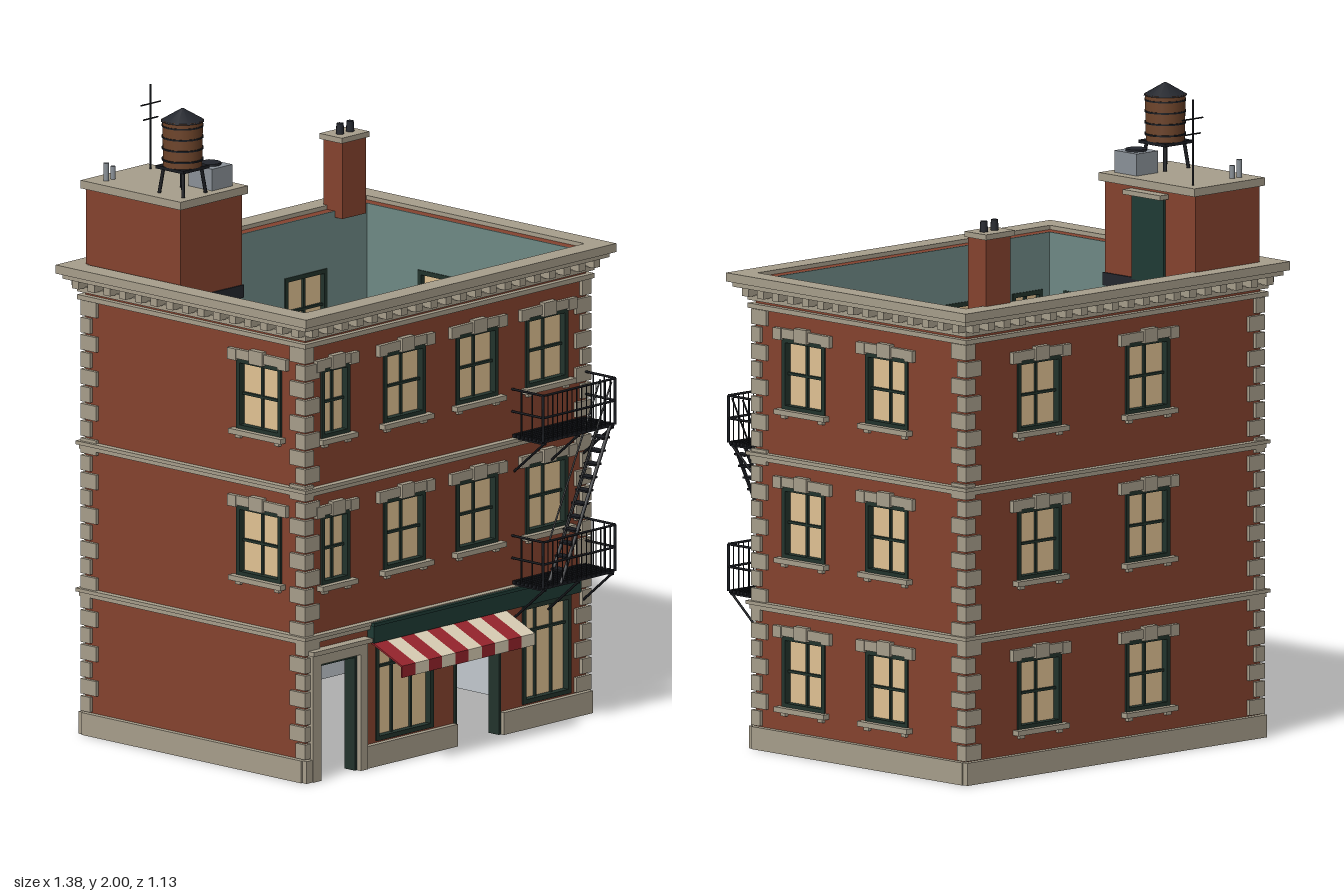
import * as THREE from 'three';

const mat = (color, side = THREE.FrontSide) => new THREE.MeshStandardMaterial({ color, side });
const M = {
  brick: mat(0x86432f), stone: mat(0xa89f8c), glass: mat(0xe2c394), frame: mat(0x22332c),
  sign: mat(0x1f3b35), red: mat(0x96242c, THREE.DoubleSide), cream: mat(0xd9cdb4, THREE.DoubleSide),
  iron: mat(0x191b20), wood: mat(0x6f452b), metal: mat(0x8b9299), roof: mat(0x23262d),
  ground: mat(0xc3cad0), middle: mat(0xc9a57a), upper: mat(0x6f8a86),
};
// Wall planes
const W = 0.625, ZF = 0.422, ZB = -0.5, ZC = (ZF + ZB) / 2, D = (ZF - ZB) / 2, T = 0.033;

function add(parent, name, geo, material, x = 0, y = 0, z = 0) {
  const m = new THREE.Mesh(geo, material);
  m.name = name;
  m.position.set(x, y, z);
  parent.add(m);
  return m;
}
// Box given by its min and max on each axis
function box(parent, name, material, x0, x1, y0, y1, z0, z1) {
  return add(parent, name, new THREE.BoxGeometry(x1 - x0, y1 - y0, z1 - z0), material,
    (x0 + x1) / 2, (y0 + y1) / 2, (z0 + z1) / 2);
}
function cyl(parent, name, material, r0, r1, y0, y1, x, z, n = 16) {
  return add(parent, name, new THREE.CylinderGeometry(r1, r0, y1 - y0, n), material, x, (y0 + y1) / 2, z);
}
// Thin round bar between two points
function bar(parent, name, a, b, r = 0.004) {
  const p = new THREE.Vector3(...a), q = new THREE.Vector3(...b), d = q.clone().sub(p);
  const m = add(parent, name, new THREE.CylinderGeometry(r, r, d.length(), 5), M.iron);
  m.position.copy(p).add(q).multiplyScalar(0.5);
  m.quaternion.setFromUnitVectors(new THREE.Vector3(0, 1, 0), d.normalize());
}
function group(parent, name) {
  const g = new THREE.Group();
  g.name = name;
  parent.add(g);
  return g;
}
const rect = (S, x0, x1, y0, y1) =>
  new S([[x0, y0], [x1, y0], [x1, y1], [x0, y1]].map(p => new THREE.Vector2(...p)));

// Rectangular moulding running round the building
function ring(parent, name, y0, y1, out, inset = 0.004) {
  const s = rect(THREE.Shape, -W - out, W + out, -D - out, D + out);
  s.holes.push(rect(THREE.Path, -W + inset, W - inset, -D + inset, D - inset));
  const geo = new THREE.ExtrudeGeometry(s, { depth: y1 - y0, bevelEnabled: false });
  geo.rotateX(-Math.PI / 2);
  add(parent, name, geo, M.stone, 0, y0, ZC);
}

// Flat wall with window holes and door notches cut into its foot
function panel(parent, name, material, half, y0, y1, z0, z1, wins, doors) {
  const pts = [[-half, y0]];
  if (y0 === 0) for (const d of doors) pts.push([d.x0, 0], [d.x0, d.h], [d.x1, d.h], [d.x1, 0]);
  pts.push([half, y0], [half, y1], [-half, y1]);
  const s = new THREE.Shape(pts.map(p => new THREE.Vector2(...p)));
  for (const w of wins) if (w.y > y0 && w.y < y1)
    s.holes.push(rect(THREE.Path, w.x - w.w / 2, w.x + w.w / 2, w.y, w.y + w.h));
  add(parent, name, new THREE.ExtrudeGeometry(s, { depth: z1 - z0, bevelEnabled: false }), material, 0, 0, z0);
}

function windowUnit(parent, { x, y, w, h, cols = 2, rail = 0.5, trim = true }) {
  const g = group(parent, 'window');
  g.position.set(x, y, 0);
  const a = w / 2, f = 0.014;
  box(g, 'glass', M.glass, -a, a, 0, h, -0.024, -0.018);
  for (const s of [-1, 1]) box(g, 'frameSide', M.frame, s * (a - f / 2) - f / 2, s * (a - f / 2) + f / 2, 0, h, -0.04, 0.005);
  box(g, 'frameBottom', M.frame, -a, a, 0, f, -0.04, 0.005);
  box(g, 'frameTop', M.frame, -a, a, h - f, h, -0.04, 0.005);
  box(g, 'meetingRail', M.frame, -a, a, h * rail - 0.004, h * rail + 0.004, -0.034, -0.008);
  for (let i = 1; i < cols; i++) {
    const mx = -a + w * i / cols;
    box(g, 'mullion', M.frame, mx - 0.004, mx + 0.004, 0, h, -0.032, -0.01);
  }
  if (!trim) return;
  box(g, 'lintel', M.stone, -a - 0.022, a + 0.022, h, h + 0.03, -0.01, 0.012);
  for (const s of [-1, 1]) {
    box(g, 'lintelEnd', M.stone, s * (a + 0.012) - 0.018, s * (a + 0.012) + 0.018, h - 0.006, h + 0.03, -0.01, 0.015);
    box(g, 'sillBracket', M.stone, s * (a - 0.012) - 0.01, s * (a - 0.012) + 0.01, -0.026, -0.014, -0.01, 0.012);
  }
  box(g, 'keystone', M.stone, -0.028, 0.028, h - 0.006, h + 0.038, -0.01, 0.019);
  box(g, 'sill', M.stone, -a - 0.016, a + 0.016, -0.014, 0.002, -0.02, 0.024);
}

function wall(parent, name, half, x, z, turn, wins, doors = []) {
  const g = group(parent, name);
  g.position.set(x, 0, z);
  g.rotation.y = turn;
  panel(g, 'brickwork', M.brick, half, 0, 1.46, -T, 0, wins, doors);
  [[0, 0.445, M.ground], [0.445, 0.905, M.middle], [0.905, 1.46, M.upper]].forEach(([a, b, m]) =>
    panel(g, 'innerLining', m, Math.min(half, W - T), a, b, -T - 0.004, -T, wins, doors));
  wins.forEach(w => windowUnit(g, w));
  // Plinth, broken at the doors
  let from = -half - (name === 'frontWall' || name === 'backWall' ? 0.012 : T);
  for (const d of doors) { box(g, 'plinth', M.stone, from, d.x0, 0, 0.07, -0.02, 0.018); from = d.x1; }
  box(g, 'plinth', M.stone, from, half + (half === W ? 0.012 : T), 0, 0.07, -0.02, 0.018);
  // Bracket row under the cornice
  const full = half === W ? W : D, n = Math.round(full * 2 / 0.066);
  for (let i = 0; i <= n; i++) {
    const bx = -full + full * 2 * i / n;
    box(g, 'corniceBracket', M.stone, bx - 0.014, bx + 0.014, 1.405, 1.44, -0.005, 0.045);
  }
  return g;
}

function fireEscape(parent) {
  const g = group(parent, 'fireEscape'), x0 = 0.292, x1 = 0.612, z0 = 0.425, z1 = 0.556;
  for (const y of [0.47, 0.93]) {
    for (let i = 0; i < 8; i++) {
      const z = z0 + 0.008 + i * 0.0165;
      box(g, 'slat', M.iron, x0, x1, y - 0.006, y + 0.004, z - 0.005, z + 0.005);
    }
    for (const h of [0.075, 0.145]) {
      bar(g, 'rail', [x0, y + h, z1], [x1, y + h, z1]);
      for (const x of [x0, x1]) bar(g, 'sideRail', [x, y + h, z0], [x, y + h, z1]);
    }
    for (let i = 0; i <= 15; i++) {
      const x = x0 + (x1 - x0) * i / 15;
      bar(g, 'baluster', [x, y, z1], [x, y + 0.145, z1], i % 15 ? 0.002 : 0.005);
    }
    for (const x of [x0, x1]) for (const z of [0.465, 0.51]) bar(g, 'sideBaluster', [x, y, z], [x, y + 0.145, z], 0.0025);
    for (const x of [0.302, 0.452, 0.602]) {
      bar(g, 'strut', [x, y - 0.004, z1], [x, y - 0.115, z0], 0.004);
      box(g, 'crossBeam', M.iron, x - 0.004, x + 0.004, y - 0.012, y - 0.004, z0, z1);
    }
  }
  // Stair between the landings
  for (const z of [0.505, 0.552]) {
    bar(g, 'stringer', [0.375, 0.47, z], [0.595, 0.93, z], 0.006);
    bar(g, 'handrail', [0.375, 0.6, z], [0.6, 1.065, z], 0.003);
  }
  for (let i = 1; i < 12; i++) {
    const x = 0.375 + 0.22 * i / 12, y = 0.47 + 0.46 * i / 12;
    box(g, 'step', M.iron, x - 0.016, x + 0.016, y - 0.003, y + 0.003, 0.505, 0.552);
  }
}

function awning(parent) {
  const g = group(parent, 'awning'), w = 0.059;
  for (let i = 0; i < 10; i++) {
    // Sloping cloth with a hanging front edge
    const s = new THREE.Shape([[0.43, 0.392], [0.558, 0.337], [0.558, 0.3], [0.553, 0.3], [0.553, 0.333], [0.43, 0.386]]
      .map(p => new THREE.Vector2(...p)));
    const geo = new THREE.ExtrudeGeometry(s, { depth: w, bevelEnabled: false });
    geo.rotateY(-Math.PI / 2);
    add(g, 'stripe', geo, i % 2 ? M.cream : M.red, -0.337 + w * (i + 1), 0, 0);
  }
}

function roofObjects(parent) {
  // Stair bulkhead
  const b = group(parent, 'roofBulkhead');
  box(b, 'bulkheadWalls', M.brick, -0.615, -0.343, 1.42, 1.71, -0.508, -0.11);
  box(b, 'bulkheadBase', M.roof, -0.59, -0.338, 1.385, 1.425, -0.46, -0.105);
  box(b, 'bulkheadCap', M.stone, -0.626, -0.326, 1.71, 1.735, -0.52, -0.1);
  box(b, 'roofDoor', M.sign, -0.345, -0.335, 1.42, 1.685, -0.375, -0.235);
  box(b, 'roofDoorHood', M.stone, -0.345, -0.307, 1.685, 1.7, -0.39, -0.225);
  // Water tank
  const t = group(parent, 'waterTank');
  t.position.set(-0.53, 0, -0.182);
  for (const x of [-1, 1]) for (const z of [-1, 1]) bar(t, 'leg', [x * 0.05, 1.735, z * 0.05], [x * 0.04, 1.82, z * 0.04], 0.006);
  box(t, 'tankPlatform', M.iron, -0.058, 0.058, 1.812, 1.822, -0.058, 0.058);
  cyl(t, 'tankBarrel', M.wood, 0.06, 0.063, 1.822, 1.965, 0, 0, 20);
  for (const y of [1.84, 1.875, 1.91, 1.945]) cyl(t, 'hoop', M.iron, 0.0645, 0.0645, y, y + 0.005, 0, 0, 20);
  cyl(t, 'tankRoof', M.roof, 0.068, 0.004, 1.962, 2.0, 0, 0, 12);
  // Cooling unit, vents and aerial
  box(parent, 'coolingUnit', M.metal, -0.452, -0.362, 1.735, 1.803, -0.23, -0.132);
  cyl(parent, 'coolingFan', M.roof, 0.033, 0.033, 1.803, 1.81, -0.407, -0.181);
  cyl(parent, 'ventPipe', M.metal, 0.009, 0.009, 1.735, 1.79, -0.575, -0.46, 10);
  cyl(parent, 'ventPipe', M.metal, 0.008, 0.008, 1.735, 1.775, -0.545, -0.46, 10);
  const a = group(parent, 'aerial');
  bar(a, 'mast', [-0.37, 1.735, -0.468], [-0.37, 2, -0.468], 0.0035);
  bar(a, 'crossbar', [-0.413, 1.94, -0.468], [-0.325, 1.94, -0.468], 0.0025);
  bar(a, 'crossbar', [-0.402, 1.893, -0.468], [-0.337, 1.893, -0.468], 0.0025);
  // Chimney
  const c = group(parent, 'chimney');
  box(c, 'stack', M.brick, 0.445, 0.55, 1.44, 1.68, -0.51, -0.432);
  box(c, 'chimneyCap', M.stone, 0.434, 0.558, 1.68, 1.697, -0.518, -0.424);
  for (const x of [0.475, 0.52]) cyl(c, 'pot', M.roof, 0.013, 0.011, 1.697, 1.73, x, -0.47, 10);
}

export function createModel() {
  const root = new THREE.Group();
  root.name = 'cornerBuilding';
  const rows = [0.143, 0.605, 1.065];
  const grid = (xs, ys, w = 0.187) => ys.flatMap(y => xs.map(x => ({ x, y, w, h: 0.222 })));
  const upper = rows.slice(1);
  const doors = [{ x0: -0.575, x1: -0.4, h: 0.365 }, { x0: 0.035, x1: 0.24, h: 0.38 }];
  const front = wall(root, 'frontWall', W, 0, ZF, 0, [
    ...grid([-0.185, 0.137, 0.447], upper), ...grid([-0.492], upper, 0.127),
    { x: -0.185, y: 0.075, w: 0.255, h: 0.305, cols: 3, rail: 0.75, trim: false },
    { x: 0.447, y: 0.075, w: 0.215, h: 0.31, cols: 3, rail: 0.72, trim: false },
  ], doors);
  wall(root, 'rightWall', D - T, W, ZC, Math.PI / 2, grid([-0.249, 0.116], rows));
  wall(root, 'backWall', W, 0, ZB, Math.PI, grid([-0.315, 0.145], rows));
  wall(root, 'leftWall', D - T, -W, ZC, -Math.PI / 2, grid([0.27], upper));

  // Door frames and stone surround
  for (const d of doors) {
    box(front, 'doorJamb', M.frame, d.x0, d.x0 + 0.01, 0, d.h, -0.038, 0.006);
    box(front, 'doorJamb', M.frame, d.x1 - 0.01, d.x1, 0, d.h, -0.038, 0.006);
    box(front, 'doorHead', M.frame, d.x0, d.x1, d.h - 0.01, d.h, -0.038, 0.006);
  }
  box(front, 'doorPilaster', M.stone, -0.612, -0.575, 0, 0.365, -0.01, 0.022);
  box(front, 'doorPilaster', M.stone, -0.4, -0.368, 0, 0.365, -0.01, 0.022);
  box(front, 'doorLintel', M.stone, -0.612, -0.368, 0.365, 0.4, -0.01, 0.022);
  box(front, 'doorCornice', M.stone, -0.622, -0.36, 0.398, 0.412, -0.01, 0.034);

  // Mouldings and cornice
  for (const y of [0.434, 0.896]) {
    ring(root, 'beltCourse', y, y + 0.016, 0.014);
    ring(root, 'beltCourseTop', y + 0.014, y + 0.025, 0.022);
  }
  ring(root, 'frieze', 1.365, 1.38, 0.018);
  ring(root, 'corniceBed', 1.39, 1.408, 0.018);
  ring(root, 'corniceMoulding', 1.43, 1.446, 0.05);
  ring(root, 'corniceSlab', 1.446, 1.473, 0.065);

  // Corner quoins, alternating long and short on each face
  const quoins = group(root, 'quoins'), o = 0.011;
  for (const sx of [-1, 1]) for (const sz of [-1, 1]) for (let i = 0; i < 24; i++) {
    const a = i % 2 ? 0.04 : 0.066, b = i % 2 ? 0.066 : 0.04, y = 0.07 + (i + 0.5) * 0.054;
    add(quoins, 'quoin', new THREE.BoxGeometry(a, 0.047, 0.03), M.stone, sx * (W + o - a / 2), y, ZC + sz * (D + o - 0.015));
    add(quoins, 'quoin', new THREE.BoxGeometry(0.03, 0.047, b), M.stone, sx * (W + o - 0.015), y, ZC + sz * (D + o - b / 2));
  }

  // Shop front
  box(root, 'signBoard', M.sign, -0.348, 0.575, 0.392, 0.448, 0.41, 0.45);
  box(root, 'signCap', M.sign, -0.352, 0.579, 0.446, 0.456, 0.41, 0.456);
  awning(root);
  fireEscape(root);
  roofObjects(root);
  return root;
}
